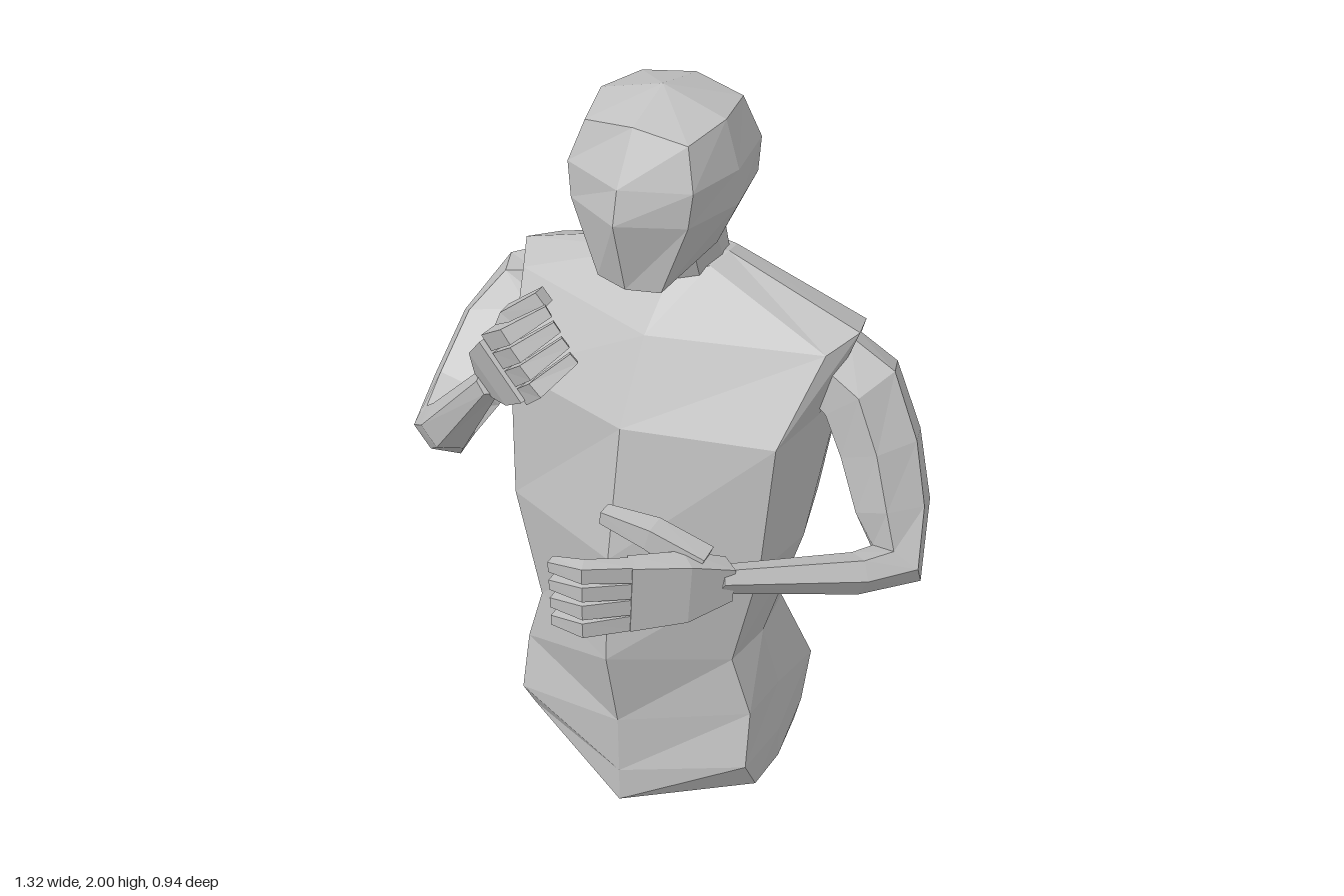
import * as THREE from 'three';

const CX = -0.035; // centre line of the body
const gray = new THREE.MeshStandardMaterial({ color: 0xc0c0c0, flatShading: true });
gray.name = 'plain gray';

// Skin closed rings (anticlockwise about the path) and close both ends
function loft(name, rings, startTip, endTip) {
  const n = rings[0].length;
  const pos = [], idx = [];
  const mean = (r) => r.reduce((s, p) => s.add(p), new THREE.Vector3()).divideScalar(n);
  rings.forEach((r) => r.forEach((p) => pos.push(p.x, p.y, p.z)));
  const first = startTip || mean(rings[0]);
  const last = endTip || mean(rings[rings.length - 1]);
  pos.push(first.x, first.y, first.z, last.x, last.y, last.z);
  const s = rings.length * n, top = s - n;
  for (let j = 0; j < n; j++) {
    const k = (j + 1) % n;
    for (let i = 0; i < rings.length - 1; i++) {
      const a = i * n + j, b = i * n + k;
      idx.push(a, b, b + n, a, b + n, a + n);
    }
    idx.push(s, k, j, s + 1, top + j, top + k);
  }
  const g = new THREE.BufferGeometry();
  g.setAttribute('position', new THREE.Float32BufferAttribute(pos, 3));
  g.setIndex(idx);
  const flat = g.toNonIndexed();
  flat.computeVertexNormals();
  const mesh = new THREE.Mesh(flat, gray);
  mesh.name = name;
  return mesh;
}

// Symmetric ring from front centre, front corner, side, back corner, back centre
function bodyRing(half) {
  const right = half.slice(1, 4).reverse().map(([x, y, z]) => [-x, y, z]);
  return [...half, ...right].map(([x, y, z]) => new THREE.Vector3(CX + x, y, z));
}

// Limb along points [x, y, z, halfAcross, halfThick]; 'across' fixes the ring roll
function limb(name, pts, across, sides) {
  const c = pts.map((p) => new THREE.Vector3(p[0], p[1], p[2]));
  const grow = 1 / Math.cos(Math.PI / sides);
  const rings = c.map((p, i) => {
    const d = new THREE.Vector3();
    if (i > 0) d.add(p.clone().sub(c[i - 1]).normalize());
    if (i < c.length - 1) d.add(c[i + 1].clone().sub(p).normalize());
    d.normalize();
    const u = across.clone().addScaledVector(d, -across.dot(d)).normalize();
    const v = d.clone().cross(u);
    return Array.from({ length: sides }, (_, j) => {
      const t = (j + 0.5) * 2 * Math.PI / sides;
      return p.clone()
        .addScaledVector(u, Math.cos(t) * pts[i][3] * grow)
        .addScaledVector(v, Math.sin(t) * pts[i][4] * grow);
    });
  });
  return loft(name, rings);
}

const lerp3 = (a, b, t) => a.map((v, i) => v + (b[i] - v) * t);

// Hand: palm, thumb and four fingers spread between index and little finger paths
function hand(name, palm, thumb, index, little, across) {
  const g = new THREE.Group();
  g.name = name;
  g.add(limb('palm', palm, across, 4), limb('thumb', thumb, across, 4));
  const size = [0.022, 0.021, 0.014];
  for (let f = 0; f < 4; f++) {
    const pts = index.map((p, i) => [...lerp3(p, little[i], f / 3), size[i], size[i]]);
    g.add(limb('finger', pts, across, 4));
  }
  return g;
}

export function createModel() {
  const model = new THREE.Group();
  model.name = 'upperBodyFigure';

  // Torso, hips up to the neck base
  const torso = [
    [[0, 0, 0.12], [0.335, 0.1, -0.01], [0.335, 0.1, -0.14], [0.31, 0.11, -0.28], [0, 0.07, -0.39]],
    [[0, 0.1, 0.12], [0.335, 0.2, 0.05], [0.34, 0.2, -0.13], [0.315, 0.16, -0.31], [0, 0.165, -0.48]],
    [[0, 0.275, 0.125], [0.33, 0.355, 0.02], [0.325, 0.34, -0.15], [0.31, 0.28, -0.37], [0, 0.31, -0.4]],
    [[0, 0.515, 0.18], [0.28, 0.52, 0.03], [0.295, 0.525, -0.11], [0.27, 0.53, -0.26], [0, 0.54, -0.32]],
    [[0, 0.82, 0.165], [0.35, 0.82, 0.03], [0.385, 0.84, -0.14], [0.335, 0.86, -0.32], [0, 0.88, -0.41]],
    [[0, 1.17, 0.1], [0.37, 1.17, 0], [0.395, 1.18, -0.18], [0.38, 1.2, -0.36], [0, 1.21, -0.43]],
    [[0, 1.37, -0.02], [0.42, 1.37, -0.15], [0.465, 1.4, -0.24], [0.43, 1.37, -0.35], [0, 1.4, -0.385]],
    [[0, 1.47, -0.14], [0.085, 1.5, -0.19], [0.1, 1.51, -0.26], [0.085, 1.49, -0.33], [0, 1.48, -0.36]],
  ];
  model.add(loft('torso', torso.map(bodyRing), new THREE.Vector3(CX, 0.025, -0.15)));

  // Neck
  const neck = [
    [[0, 1.45, -0.14], [0.07, 1.47, -0.17], [0.09, 1.49, -0.25], [0.07, 1.48, -0.32], [0, 1.48, -0.355]],
    [[0, 1.63, -0.08], [0.07, 1.63, -0.11], [0.095, 1.64, -0.18], [0.075, 1.65, -0.26], [0, 1.65, -0.28]],
  ];
  model.add(loft('neck', neck.map(bodyRing)));

  // Head
  const head = [
    [[0, 1.545, 0.07], [0.085, 1.55, 0.05], [0.135, 1.61, -0.13], [0.1, 1.64, -0.24], [0, 1.64, -0.27]],
    [[0, 1.74, 0.125], [0.155, 1.74, 0.05], [0.2, 1.74, -0.11], [0.165, 1.74, -0.275], [0, 1.74, -0.32]],
    [[0, 1.825, 0.105], [0.165, 1.83, 0.045], [0.2, 1.83, -0.11], [0.17, 1.83, -0.28], [0, 1.83, -0.325]],
    [[0, 1.95, 0.03], [0.135, 1.93, 0.015], [0.165, 1.95, -0.11], [0.135, 1.94, -0.25], [0, 1.96, -0.27]],
  ];
  model.add(loft('head', head.map(bodyRing), new THREE.Vector3(CX, 1.59, -0.11),
    new THREE.Vector3(CX, 2, -0.11)));

  // Left arm, forearm held across the belly
  model.add(limb('leftArm', [
    [0.34, 1.29, -0.26, 0.08, 0.09], [0.43, 1.23, -0.265, 0.1, 0.1],
    [0.495, 1.1, -0.25, 0.095, 0.095], [0.55, 0.95, -0.22, 0.085, 0.085],
    [0.595, 0.83, -0.16, 0.065, 0.065], [0.53, 0.84, -0.06, 0.062, 0.045],
    [0.29, 0.905, 0.2, 0.045, 0.03],
  ], new THREE.Vector3(-0.55, -0.6, -0.5), 6));
  model.add(hand('leftHand',
    [[0.31, 0.9, 0.18, 0.045, 0.03], [0.24, 0.91, 0.27, 0.08, 0.036], [0.14, 0.915, 0.365, 0.092, 0.028]],
    [[0.26, 0.95, 0.22, 0.04, 0.03], [0.13, 1.005, 0.235, 0.03, 0.03], [0, 1.02, 0.24, 0.017, 0.02]],
    [[0.15, 0.985, 0.36], [0.06, 1.0, 0.44], [-0.025, 0.995, 0.445]],
    [[0.15, 0.845, 0.36], [0.06, 0.84, 0.44], [-0.02, 0.84, 0.445]],
    new THREE.Vector3(0, 1, 0)));

  // Right arm, forearm raised toward the chin
  model.add(limb('rightArm', [
    [-0.41, 1.29, -0.26, 0.08, 0.09], [-0.49, 1.24, -0.25, 0.1, 0.1],
    [-0.545, 1.15, -0.16, 0.095, 0.09], [-0.56, 1.04, -0.03, 0.085, 0.085],
    [-0.575, 0.965, 0.06, 0.07, 0.065], [-0.52, 1.03, 0.12, 0.06, 0.055],
    [-0.3, 1.31, 0.25, 0.03, 0.035],
  ], new THREE.Vector3(0.8, -0.5, -0.3), 6));
  model.add(hand('rightHand',
    [[-0.3, 1.31, 0.24, 0.035, 0.03], [-0.245, 1.38, 0.295, 0.075, 0.036], [-0.18, 1.445, 0.35, 0.085, 0.028]],
    [[-0.28, 1.36, 0.26, 0.035, 0.03], [-0.25, 1.49, 0.22, 0.027, 0.027], [-0.17, 1.56, 0.21, 0.02, 0.018]],
    [[-0.225, 1.505, 0.345], [-0.155, 1.56, 0.385], [-0.09, 1.605, 0.32]],
    [[-0.135, 1.385, 0.345], [-0.08, 1.44, 0.385], [-0.025, 1.5, 0.32]],
    new THREE.Vector3(0.6, -0.8, 0)));

  return model;
}
